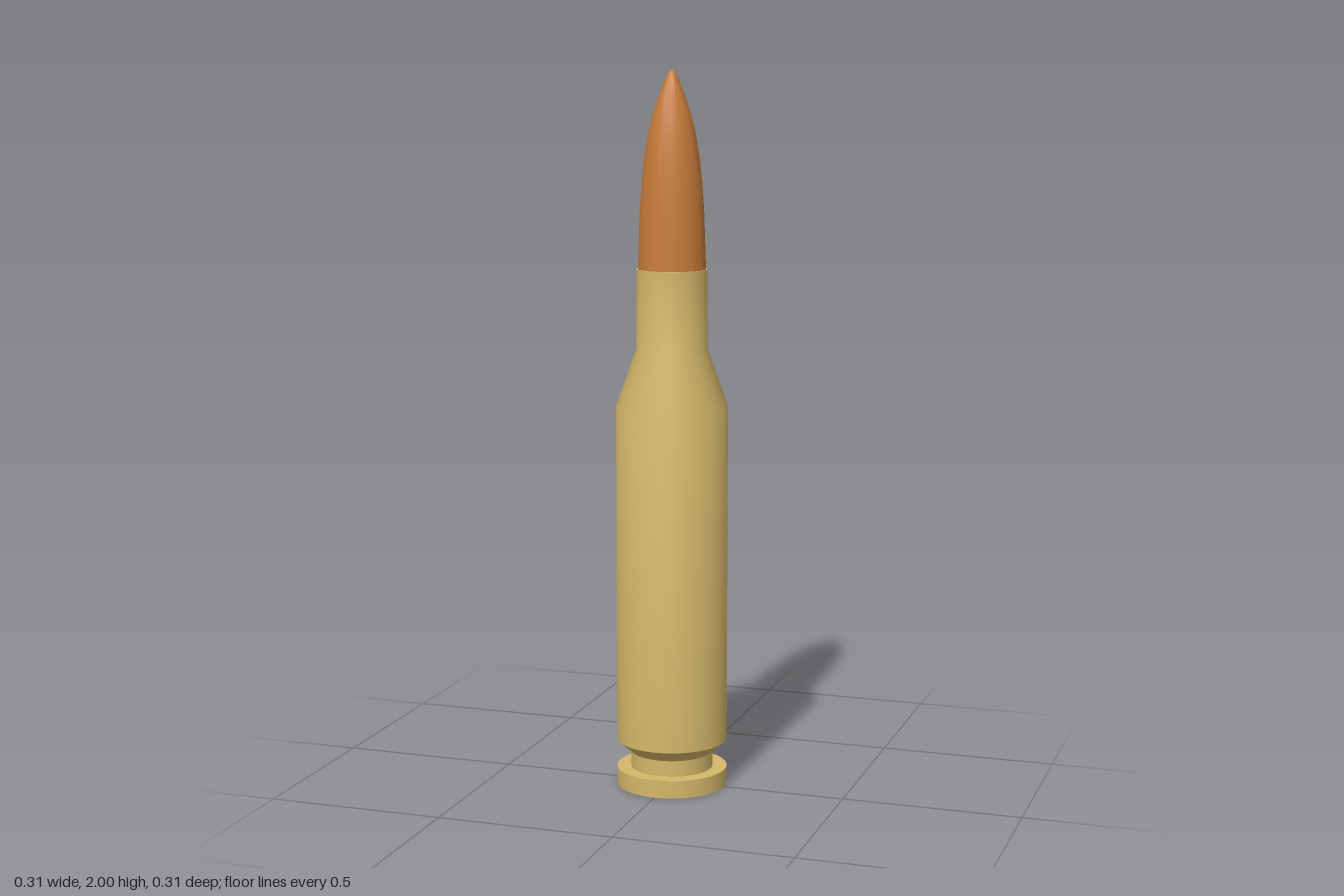
import * as THREE from 'three';
import { toCreasedNormals } from 'three/addons/utils/BufferGeometryUtils.js';

const SEGMENTS = 48;

// Revolves a [radius, height] profile, listed from bottom to top
function turned(name, profile, color) {
  const points = profile.map(([r, y]) => new THREE.Vector2(r, y));
  const geometry = toCreasedNormals(new THREE.LatheGeometry(points, SEGMENTS), 0.5);
  const mesh = new THREE.Mesh(geometry, new THREE.MeshStandardMaterial({ color }));
  mesh.name = name;
  return mesh;
}

export function createModel() {
  const group = new THREE.Group();
  group.name = 'cartridge';

  // Brass case: rim, extractor groove, bevel, body, shoulder, neck, mouth
  group.add(turned('case', [
    [0, 0], [0.155, 0], [0.155, 0.05],
    [0.115, 0.05], [0.115, 0.095],
    [0.155, 0.13], [0.155, 1.08],
    [0.098, 1.24], [0.098, 1.46], [0.088, 1.46],
  ], 0xd4b76a));

  // Copper tip: curved ogive with a slightly rounded point, seated in the neck
  group.add(turned('tip', [
    [0.094, 1.44], [0.092, 1.5], [0.088, 1.62], [0.083, 1.69], [0.076, 1.76],
    [0.065, 1.83], [0.052, 1.88], [0.036, 1.93], [0.019, 1.972],
    [0.011, 1.99], [0.006, 1.997], [0, 2],
  ], 0xc77b3a));

  return group;
}
